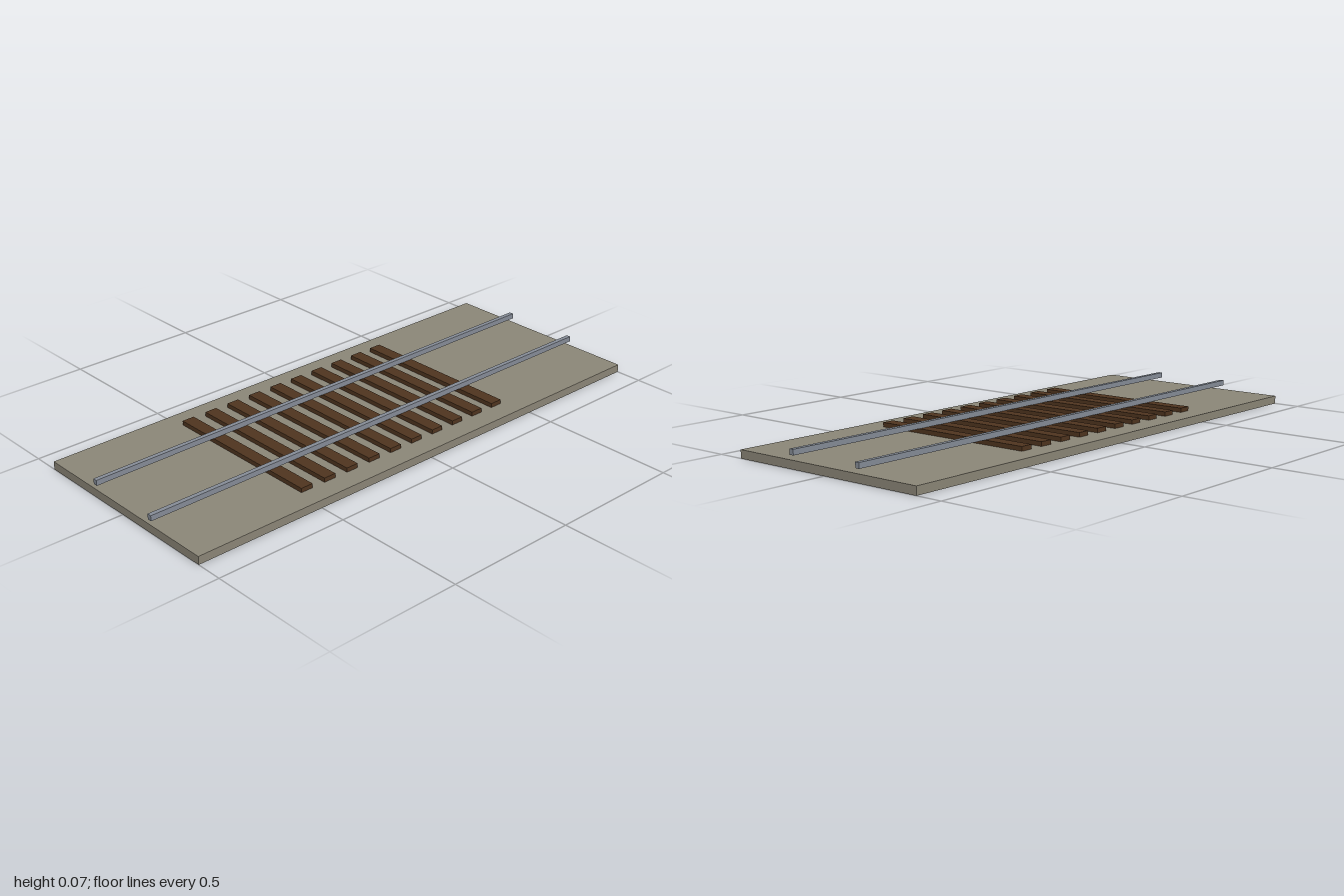
import * as THREE from 'three';

export function createModel() {
  const group = new THREE.Group();
  group.name = 'railwayTrack';

  const material = (name, color) => {
    const m = new THREE.MeshStandardMaterial({ color });
    m.name = name;
    return m;
  };
  const gravel = material('gravel', 0x8c8778);
  const wood = material('darkWood', 0x50351f);
  const steel = material('steel', 0x868d98);

  // Box placed by the height of its underside
  const addBox = (name, mat, [w, h, d], x, bottom, z) => {
    const mesh = new THREE.Mesh(new THREE.BoxGeometry(w, h, d), mat);
    mesh.name = name;
    mesh.position.set(x, bottom + h / 2, z);
    group.add(mesh);
  };

  const bedHeight = 0.03;
  const sleeperHeight = 0.016;

  // Ballast bed
  addBox('ballastBed', gravel, [0.8, bedHeight, 2], 0, 0, 0);

  // Ten sleepers, the row slightly nearer the front
  for (let i = 0; i < 10; i++) {
    addBox('sleeper', wood, [0.64, sleeperHeight, 0.048], 0, bedHeight, -0.405 + i * 0.1);
  }

  // Pair of rails on the sleepers
  for (const [name, x] of [['leftRail', 0.15], ['rightRail', -0.15]]) {
    addBox(name, steel, [0.017, 0.02, 2], x, bedHeight + sleeperHeight, 0);
  }

  return group;
}
